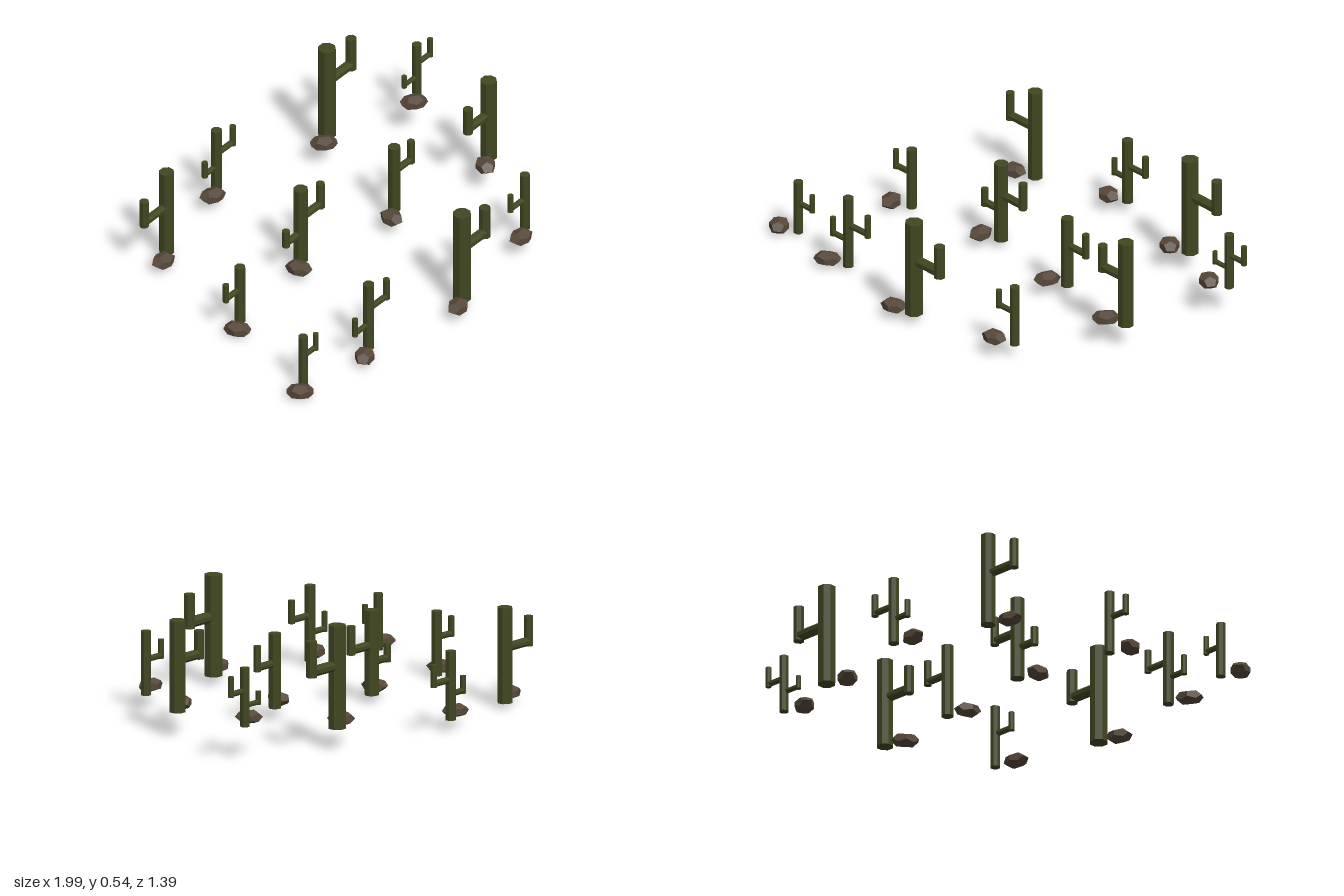
import * as THREE from 'three';

// Each cactus: x, base y, z, trunk radius, trunk top,
// arms [tip x, elbow y, arm top y], rock [x, z, yaw]
const CACTI = [
  { x: -0.51, y: 0.023, z: -0.577, r: 0.031, top: 0.437, arms: [[-0.68, 0.26, 0.37]], rock: [-0.59, -0.53, 0] },
  { x: -0.053, y: 0.052, z: -0.674, r: 0.023, top: 0.35, arms: [[0.07, 0.227, 0.31], [-0.145, 0.164, 0.228]], rock: [-0.128, -0.635, -0.3] },
  { x: 0.49, y: 0.093, z: -0.515, r: 0.037, top: 0.54, arms: [[0.675, 0.366, 0.5]], rock: [0.413, -0.47, -0.7] },
  { x: 0.893, y: 0.15, z: -0.354, r: 0.02, top: 0.405, arms: [[0.995, 0.305, 0.382], [0.797, 0.24, 0.287]], rock: [0.817, -0.309, -0.6] },
  { x: -0.214, y: 0.033, z: -0.093, r: 0.03, top: 0.4, arms: [[-0.064, 0.249, 0.355], [-0.33, 0.174, 0.238]], rock: [-0.288, -0.045, -1.4] },
  { x: -0.695, y: 0.015, z: -0.035, r: 0.022, top: 0.295, arms: [[-0.803, 0.18, 0.254]], rock: [-0.77, 0.011, -1.2] },
  { x: 0.289, y: 0.055, z: 0.007, r: 0.026, top: 0.379, arms: [[0.418, 0.25, 0.345]], rock: [0.214, 0.052, 1.3] },
  { x: 0.77, y: 0.11, z: 0.13, r: 0.034, top: 0.507, arms: [[0.61, 0.334, 0.436]], rock: [0.694, 0.173, 0.9] },
  { x: -0.877, y: 0.011, z: 0.45, r: 0.02, top: 0.256, arms: [[-0.78, 0.153, 0.222]], rock: [-0.95, 0.492, -0.9] },
  { x: -0.513, y: 0.021, z: 0.511, r: 0.023, top: 0.35, arms: [[-0.38, 0.22, 0.307], [-0.617, 0.144, 0.218]], rock: [-0.594, 0.554, 0.5] },
  { x: -0.011, y: 0.038, z: 0.611, r: 0.038, top: 0.476, arms: [[0.166, 0.295, 0.42]], rock: [-0.09, 0.653, 0.2] },
  { x: 0.513, y: 0.067, z: 0.53, r: 0.021, top: 0.345, arms: [[0.404, 0.22, 0.29]], rock: [0.433, 0.573, 0] },
];

export function createModel() {
  const model = new THREE.Group();
  model.name = 'cactusField';
  const green = new THREE.MeshStandardMaterial({ color: 0x414721 });
  green.name = 'cactusGreen';
  const brown = new THREE.MeshStandardMaterial({ color: 0x57493a });
  brown.name = 'rockBrown';

  // Eight-sided faceted column with a flat side facing the front
  const column = new THREE.CylinderGeometry(1, 1, 1, 8).toNonIndexed();
  column.rotateY(Math.PI / 8);
  column.computeVertexNormals();
  const stone = new THREE.DodecahedronGeometry(1);

  const part = (parent, name, geometry, material) => {
    const mesh = new THREE.Mesh(geometry, material);
    mesh.name = name;
    parent.add(mesh);
    return mesh;
  };

  for (const { x, y, z, r, top, arms, rock } of CACTI) {
    const cactus = new THREE.Group();
    cactus.name = 'cactus';
    cactus.position.set(x, 0, z);
    model.add(cactus);

    const trunk = part(cactus, 'trunk', column, green);
    trunk.position.y = (y + top) / 2;
    trunk.scale.set(r * 1.05, top - y, r * 1.05);

    arms.forEach(([tip, elbow, armTop], i) => {
      const side = Math.sign(tip - x);
      const ar = r * (i ? 0.55 : 0.62);
      const reach = Math.abs(tip - x) - ar;

      // Horizontal branch from the trunk to the upright
      const branch = part(cactus, 'armBranch', column, green);
      branch.rotation.z = Math.PI / 2;
      branch.position.set(side * reach / 2, elbow, 0);
      branch.scale.set(ar, reach, ar);

      // Upright end of the arm
      const upright = part(cactus, 'armUpright', column, green);
      upright.position.set(side * reach, (elbow - ar + armTop) / 2, 0);
      upright.scale.set(ar * 1.05, armTop - elbow + ar, ar * 1.05);
    });

    // Flattened rock beside the trunk
    const boulder = part(model, 'rock', stone, brown);
    boulder.position.set(rock[0], y + 0.02, rock[1]);
    boulder.rotation.y = rock[2];
    boulder.scale.set(0.061, 0.031, 0.045);
  }
  return model;
}
